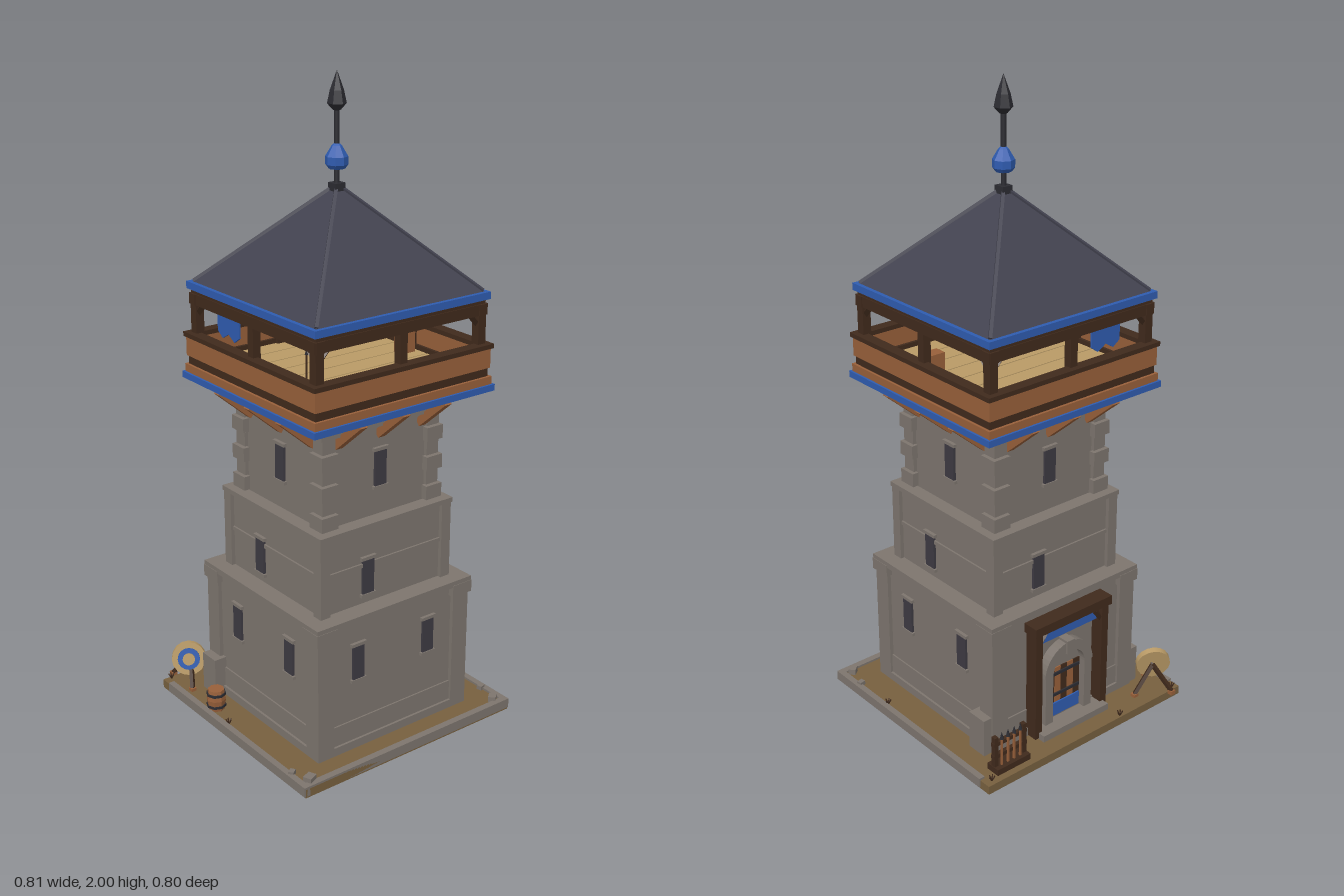
import * as THREE from 'three';

const mat = (name, color) => {
  const m = new THREE.MeshStandardMaterial({ color });
  m.name = name;
  return m;
};

export function createModel() {
  const stone = mat('stone', 0x7d756e), ground = mat('dirt', 0x77603f), slate = mat('slate', 0x42424f);
  const blue = mat('blue paint', 0x2f5cb0), dark = mat('dark timber', 0x402a1c), brown = mat('brown timber', 0x98603a);
  const tan = mat('pale planks', 0xb99a66), glass = mat('window dark', 0x3d3a42), iron = mat('iron', 0x2c2c32);

  const root = new THREE.Group();
  const tower = new THREE.Group();
  tower.name = 'tower';
  tower.position.z = 0.025;
  root.add(tower);

  const add = (parent, name, geo, m, x = 0, y = 0, z = 0) => {
    const mesh = new THREE.Mesh(geo, m);
    mesh.name = name;
    mesh.position.set(x, y, z);
    parent.add(mesh);
    return mesh;
  };
  // box from bottom y0 to top y1
  const box = (parent, name, m, w, y0, y1, d, x = 0, z = 0) =>
    add(parent, name, new THREE.BoxGeometry(w, y1 - y0, d), m, x, (y0 + y1) / 2, z);
  const flat = (geo) => {
    const g = geo.toNonIndexed();
    g.computeVertexNormals();
    return g;
  };
  // square beam between two points
  const beam = (parent, name, m, a, b, t) => {
    const p = new THREE.Vector3(...a), q = new THREE.Vector3(...b);
    const mesh = add(parent, name, new THREE.BoxGeometry(t, t, p.distanceTo(q)), m);
    mesh.position.copy(p).add(q).multiplyScalar(0.5);
    const dir = q.sub(p).normalize();
    mesh.quaternion.setFromUnitVectors(new THREE.Vector3(0, 0, 1), dir);
    return mesh;
  };
  // one group per face of the tower: 0 front, 1 +x, 2 back, 3 -x
  const faces = [0, 1, 2, 3].map((k) => {
    const g = new THREE.Group();
    g.name = 'face' + k;
    g.rotation.y = (k * Math.PI) / 2;
    tower.add(g);
    return g;
  });
  const signs = [-1, 1];
  const corners = (fn) => signs.forEach((sx) => signs.forEach((sz) => fn(sx, sz)));

  // ground plate with stone kerb
  box(root, 'groundPlate', ground, 0.8, 0, 0.028, 0.78, 0, 0.01);
  box(root, 'frontKerb', stone, 0.808, 0.004, 0.035, 0.022, 0, 0.389);
  signs.forEach((s) => box(root, 'sideKerb', stone, 0.02, 0.004, 0.035, 0.74, s * 0.394, 0.03));

  // stone tiers
  box(tower, 'plinth', stone, 0.58, 0.02, 0.055, 0.58);
  box(tower, 'lowerTier', stone, 0.555, 0.05, 0.45, 0.555);
  box(tower, 'lowerCourse', stone, 0.565, 0.055, 0.12, 0.565);
  box(tower, 'lowerCornice', stone, 0.592, 0.452, 0.472, 0.592);
  box(tower, 'middleTier', stone, 0.47, 0.46, 0.725, 0.47);
  box(tower, 'middleBand', stone, 0.482, 0.592, 0.604, 0.482);
  box(tower, 'middleCornice', stone, 0.502, 0.717, 0.732, 0.502);
  box(tower, 'upperTier', stone, 0.41, 0.73, 1.06, 0.41);
  box(tower, 'upperCornice', stone, 0.47, 1.02, 1.042, 0.47);
  corners((sx, sz) => {
    box(tower, 'lowerPilaster', stone, 0.06, 0.03, 0.425, 0.06, sx * 0.26, sz * 0.26);
    box(tower, 'pilasterCap', stone, 0.075, 0.42, 0.458, 0.075, sx * 0.26, sz * 0.26);
    box(tower, 'middlePilaster', stone, 0.035, 0.47, 0.72, 0.035, sx * 0.23, sz * 0.23);
    for (let i = 0; i < 6; i++) {
      const w = i % 2 ? 0.045 : 0.06;
      const c = (i % 2 ? 0.217 : 0.226) - w / 2;
      box(tower, 'quoin', stone, w, 0.735 + i * 0.047, 0.779 + i * 0.047, w, sx * c, sz * c);
    }
  });
  signs.forEach((s) => box(tower, 'rearButtress', stone, 0.06, 0.03, 0.155, 0.07, s * 0.29, -0.25));

  // slit windows
  const slit = (g, x, y0, out) => {
    box(g, 'windowPane', glass, 0.042, y0, y0 + 0.11, 0.008, x, out + 0.003);
    box(g, 'windowSill', stone, 0.055, y0 - 0.01, y0, 0.02, x, out);
    box(g, 'windowHood', stone, 0.055, y0 + 0.11, y0 + 0.12, 0.02, x, out);
  };
  faces.forEach((g, k) => {
    if (k !== 2) signs.forEach((s) => slit(g, s * 0.135, 0.26, 0.278));
    slit(g, -0.067, 0.505, 0.236);
    slit(g, 0, 0.825, 0.206);
    // slanting brackets under the gallery
    [-0.155, 0, 0.155].forEach((x) => beam(g, 'bracket', brown, [x, 0.985, 0.205], [x, 1.082, 0.318], 0.025));
    // gallery parapet and trims
    box(g, 'galleryTrim', blue, 0.662, 1.08, 1.1, 0.014, 0, 0.324);
    box(g, 'galleryBeam', brown, 0.648, 1.1, 1.124, 0.03, 0, 0.309);
    box(g, 'parapetFoot', dark, 0.63, 1.124, 1.15, 0.025, 0, 0.303);
    box(g, 'parapetBoards', brown, 0.64, 1.15, 1.212, 0.02, 0, 0.31);
    box(g, 'handrail', dark, 0.652, 1.21, 1.224, 0.036, 0, 0.308);
    // posts and eaves
    box(g, 'cornerPost', dark, 0.028, 1.12, 1.34, 0.028, 0.294, 0.294);
    box(g, 'middlePost', dark, 0.026, 1.12, 1.34, 0.026, 0, 0.294);
    box(g, 'eavesBeam', dark, 0.624, 1.312, 1.345, 0.03, 0, 0.294);
    box(g, 'eavesBoard', dark, 0.612, 1.335, 1.36, 0.02, 0, 0.296);
    box(g, 'eavesTrim', blue, 0.632, 1.358, 1.38, 0.016, 0, 0.308);
    signs.forEach((s) => beam(g, 'postBrace', dark, [s * 0.288, 1.285, 0.294], [s * 0.25, 1.325, 0.294], 0.016));
  });

  // gallery floor and planks
  box(tower, 'galleryUnderside', dark, 0.634, 1.075, 1.105, 0.634);
  for (let i = 0; i < 8; i++)
    box(tower, 'floorPlank', tan, 0.59, 1.105, 1.135, 0.07, 0, -0.259 + i * 0.074);

  // pennants hanging in the gallery
  const cloth = new THREE.Shape();
  [[-0.055, 0], [0.055, 0], [0.055, -0.062], [0.03, -0.08], [0, -0.062], [-0.03, -0.08], [-0.055, -0.062]]
    .forEach(([x, y], i) => (i ? cloth.lineTo(x, y) : cloth.moveTo(x, y)));
  const clothGeo = new THREE.ExtrudeGeometry(cloth, { depth: 0.006, bevelEnabled: false });
  add(faces[2], 'pennant', clothGeo, blue, 0.14, 1.315, 0.282);
  add(faces[3], 'pennant', clothGeo, blue, -0.14, 1.315, 0.282);

  // spears and a small chest kept on the gallery
  [-0.255, -0.235, -0.215].forEach((x) => {
    add(tower, 'spearShaft', new THREE.CylinderGeometry(0.003, 0.003, 0.14, 6), dark, x, 1.205, 0.195);
    add(tower, 'spearTip', new THREE.ConeGeometry(0.006, 0.018, 4), iron, x, 1.282, 0.195);
  });
  box(tower, 'chest', brown, 0.05, 1.135, 1.235, 0.04, 0.25, 0.015);

  // roof
  const roof = new THREE.ConeGeometry(0.308 * Math.SQRT2, 0.305, 4);
  roof.rotateY(Math.PI / 4);
  add(tower, 'roof', flat(roof), slate, 0, 1.375 + 0.1525, 0);
  box(tower, 'roofCeiling', dark, 0.6, 1.35, 1.374, 0.6);
  corners((sx, sz) => beam(tower, 'hipRidge', slate, [sx * 0.3, 1.382, sz * 0.3], [sx * 0.01, 1.67, sz * 0.01], 0.01));

  // finial
  box(tower, 'finialBase', iron, 0.036, 1.662, 1.685, 0.036);
  add(tower, 'finialPole', new THREE.CylinderGeometry(0.008, 0.008, 0.24, 8), iron, 0, 1.79, 0);
  const spun = (pts, n) => flat(new THREE.LatheGeometry(pts.map((p) => new THREE.Vector2(...p)), n));
  add(tower, 'finialBulb', spun([[0, 1.72], [0.024, 1.725], [0.033, 1.737], [0.033, 1.76], [0.015, 1.79], [0, 1.803]], 8), blue);
  add(tower, 'finialSpear', spun([[0, 1.885], [0.012, 1.89], [0.028, 1.908], [0.02, 1.945], [0, 2]], 6), iron);

  // doorway on the back
  const door = faces[2];
  box(door, 'doorStep', stone, 0.27, 0.02, 0.05, 0.08, 0, 0.309);
  signs.forEach((s) => {
    box(door, 'porchPost', dark, 0.026, 0.03, 0.41, 0.045, s * 0.135, 0.302);
    box(door, 'doorJamb', stone, 0.03, 0.05, 0.22, 0.035, s * 0.08, 0.293);
    beam(door, 'porchBrace', dark, [s * 0.13, 0.35, 0.312], [s * 0.1, 0.39, 0.312], 0.014);
  });
  box(door, 'porchLintel', dark, 0.31, 0.4, 0.43, 0.055, 0, 0.304);
  box(door, 'porchBanner', blue, 0.23, 0.352, 0.382, 0.014, 0, 0.3);
  box(door, 'porchRail', dark, 0.25, 0.382, 0.4, 0.02, 0, 0.3);
  const arch = new THREE.Shape();
  arch.absarc(0, 0, 0.098, 0, Math.PI);
  arch.absarc(0, 0, 0.065, Math.PI, 0, true);
  add(door, 'doorArch', new THREE.ExtrudeGeometry(arch, { depth: 0.035, bevelEnabled: false, curveSegments: 10 }), stone, 0, 0.22, 0.276);
  box(door, 'archKeystone', stone, 0.03, 0.28, 0.325, 0.045, 0, 0.295);
  const tympanum = new THREE.CircleGeometry(0.066, 12, 0, Math.PI);
  add(door, 'archPanel', tympanum, stone, 0, 0.22, 0.2835);
  for (let i = 0; i < 5; i++)
    box(door, 'doorPlank', i % 2 ? brown : dark, 0.025, 0.05, 0.225, 0.012, -0.052 + i * 0.026, 0.281);
  box(door, 'doorPanel', blue, 0.122, 0.055, 0.1, 0.006, 0, 0.289);
  [0.125, 0.2].forEach((y) => box(door, 'doorStrap', iron, 0.122, y, y + 0.01, 0.006, 0, 0.289));

  // weapon rack
  const rack = new THREE.Group();
  rack.name = 'weaponRack';
  rack.position.set(0.283, 0, -0.333);
  root.add(rack);
  box(rack, 'rackBase', dark, 0.128, 0.028, 0.048, 0.05);
  signs.forEach((s) => box(rack, 'rackPost', dark, 0.014, 0.03, 0.15, 0.016, s * 0.055, 0));
  [0.075, 0.118].forEach((y) => box(rack, 'rackRail', dark, 0.128, y, y + 0.013, 0.014));
  for (let i = 0; i < 4; i++) {
    const x = -0.036 + i * 0.024;
    box(rack, 'weaponShaft', brown, 0.006, 0.045, 0.14, 0.006, x, -0.009);
    add(rack, 'weaponTip', new THREE.ConeGeometry(0.008, 0.025, 4), iron, x, 0.152, -0.009);
  }

  // practice target on a tripod
  const target = new THREE.Group();
  target.name = 'target';
  target.position.set(-0.338, 0.115, -0.318);
  target.rotation.set(-0.2, -0.57, 0, 'YXZ');
  root.add(target);
  [[0.055, 0.02, tan], [0.036, 0.023, blue], [0.02, 0.026, tan]].forEach(([r, d, m], i) => {
    const disc = new THREE.CylinderGeometry(r, r, d, 16);
    disc.rotateX(Math.PI / 2);
    add(target, 'targetRing', disc, m, 0, 0, i * 0.003);
  });
  [[-0.355, -0.39], [-0.25, -0.327], [-0.36, -0.265]].forEach(([x, z]) => {
    beam(root, 'tripodLeg', dark, [x, 0.035, z], [-0.322, 0.12, -0.332], 0.012);
    box(root, 'tripodFoot', brown, 0.018, 0.024, 0.038, 0.018, x, z);
  });

  // barrel
  const barrel = [[0, 0.03], [0.026, 0.03], [0.031, 0.066], [0.026, 0.1], [0, 0.1]];
  add(root, 'barrel', spun(barrel, 8), brown, -0.36, 0, -0.126);
  [0.045, 0.085].forEach((y) =>
    add(root, 'barrelHoop', new THREE.CylinderGeometry(0.0315, 0.0315, 0.008, 8), iron, -0.36, y, -0.126));

  // loose stones and dry tufts
  [[-0.365, 0.373, 0.032, 0.4], [0.363, 0.368, 0.028, 0.7], [-0.385, 0.312, 0.02, 0.6], [0.383, 0.293, 0.02, 0.2]]
    .forEach(([x, z, s, a]) => {
      box(root, 'looseStone', stone, s, 0.025, 0.03 + s * 0.6, s * 0.85, x, z).rotation.y = a;
    });
  [[-0.375, -0.37], [-0.14, -0.373], [0.375, -0.363], [-0.38, -0.027], [0.38, 0.148]].forEach(([x, z]) => {
    for (let i = 0; i < 5; i++) {
      const a = i * 1.257;
      beam(root, 'tuft', dark, [x, 0.028, z], [x + 0.009 * Math.cos(a), 0.045, z + 0.009 * Math.sin(a)], 0.003);
    }
  });
  return root;
}
